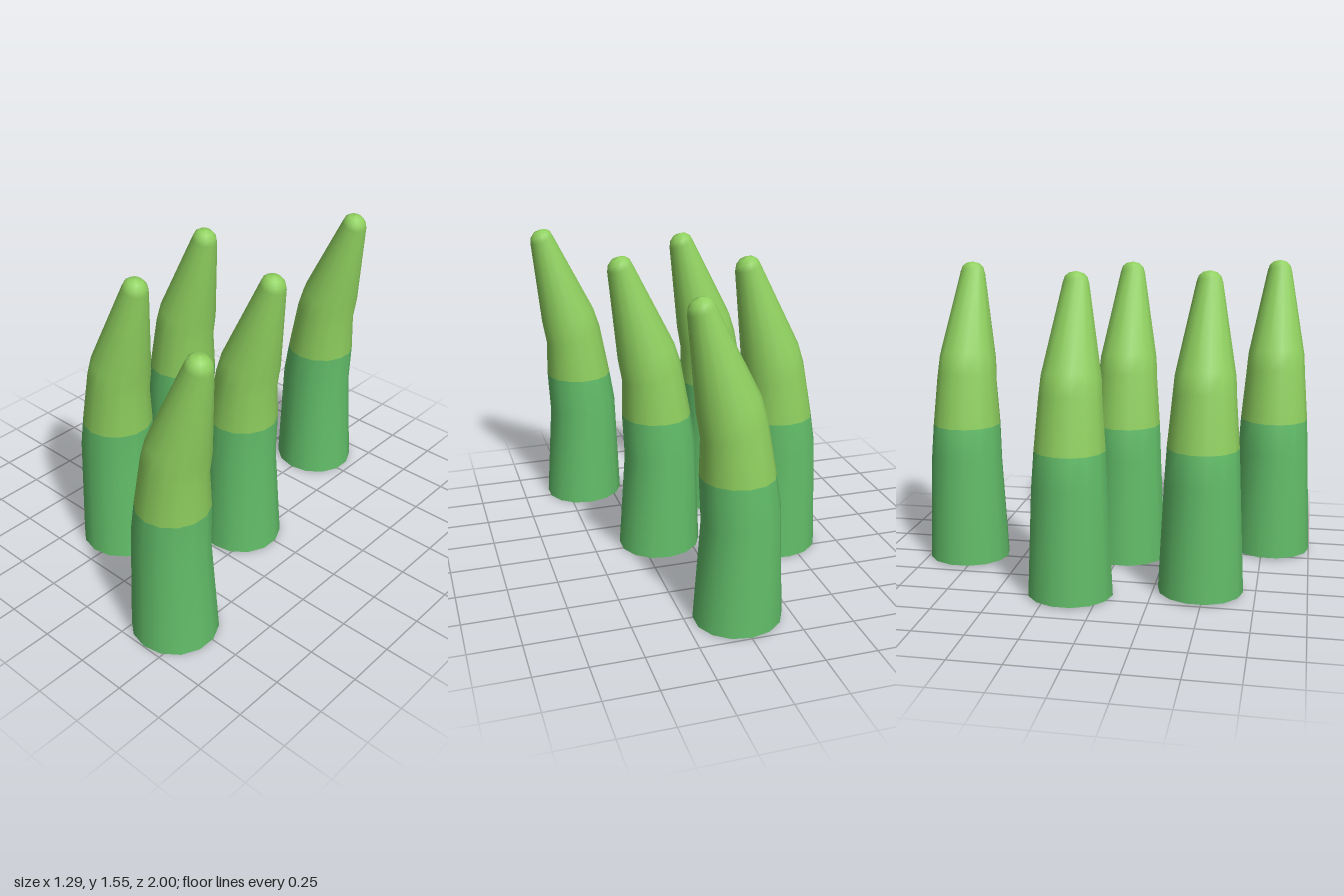
import * as THREE from 'three';

const SIDES = 14;
// Cross-sections from base to tip: centre x, centre y, radius, lean
const RINGS = [
  [0, 0.005, 0.21, 0.024],
  [-0.009, 0.535, 0.185, 0.19],
  [0.008, 0.725, 0.175, 0.0],
  [0.031, 0.955, 0.155, 0.31],
  [0.057, 1.065, 0.147, 0.26],
  [0.181, 1.495, 0.064, 0.3],
  [0.186, 1.522, 0.055, 0.3],
  [0.188, 1.54, 0.036, 0.25],
  [0.187, 1.55, 0.001, 0.1],
];
const COLOR_RING = 2; // the colour changes at this cross-section

// Ring of points on a disc leaning towards +x, with a vertex at each z extreme
function ringPoints([cx, cy, r, lean]) {
  const pts = [];
  for (let i = 0; i < SIDES; i++) {
    const a = (i / SIDES) * Math.PI * 2;
    const u = Math.sin(a) * r;
    pts.push(cx + u * Math.cos(lean), cy - u * Math.sin(lean), Math.cos(a) * r);
  }
  return pts;
}

// Smooth skin through all rings, with one group per colour
function stalkGeometry() {
  const index = [];
  for (let j = 0; j < RINGS.length - 1; j++) {
    for (let i = 0; i < SIDES; i++) {
      const a = j * SIDES + i;
      const b = j * SIDES + ((i + 1) % SIDES);
      index.push(a, b, b + SIDES, a, b + SIDES, a + SIDES);
    }
  }
  const geo = new THREE.BufferGeometry();
  geo.setAttribute('position', new THREE.Float32BufferAttribute(RINGS.flatMap(ringPoints), 3));
  geo.setIndex(index);
  const split = COLOR_RING * SIDES * 6;
  geo.addGroup(0, split, 0);
  geo.addGroup(split, index.length - split, 1);
  geo.computeVertexNormals();
  return geo;
}

// Flat underside
function baseGeometry() {
  const index = [];
  for (let i = 1; i < SIDES - 1; i++) index.push(0, i + 1, i);
  const geo = new THREE.BufferGeometry();
  geo.setAttribute('position', new THREE.Float32BufferAttribute(ringPoints(RINGS[0]), 3));
  geo.setIndex(index);
  geo.computeVertexNormals();
  return geo;
}

export function createModel() {
  const lower = new THREE.MeshStandardMaterial({ color: 0x62bd69 });
  lower.name = 'leafGreen';
  const upper = new THREE.MeshStandardMaterial({ color: 0x8fd05f });
  upper.name = 'limeGreen';

  const model = new THREE.Group();
  model.name = 'stalkCluster';
  const skin = stalkGeometry();
  const base = baseGeometry();

  // Stalk positions on the ground: x, z
  const spots = [[0, -0.79], [-0.44, -0.14], [0.15, 0.035], [-0.29, 0.48], [0.4, 0.79]];
  spots.forEach(([x, z], i) => {
    const stalk = new THREE.Group();
    stalk.name = `stalk${i + 1}`;
    const body = new THREE.Mesh(skin, [lower, upper]);
    body.name = 'stalkBody';
    const underside = new THREE.Mesh(base, lower);
    underside.name = 'stalkUnderside';
    stalk.add(body, underside);
    stalk.position.set(x, 0, z);
    model.add(stalk);
  });
  return model;
}
